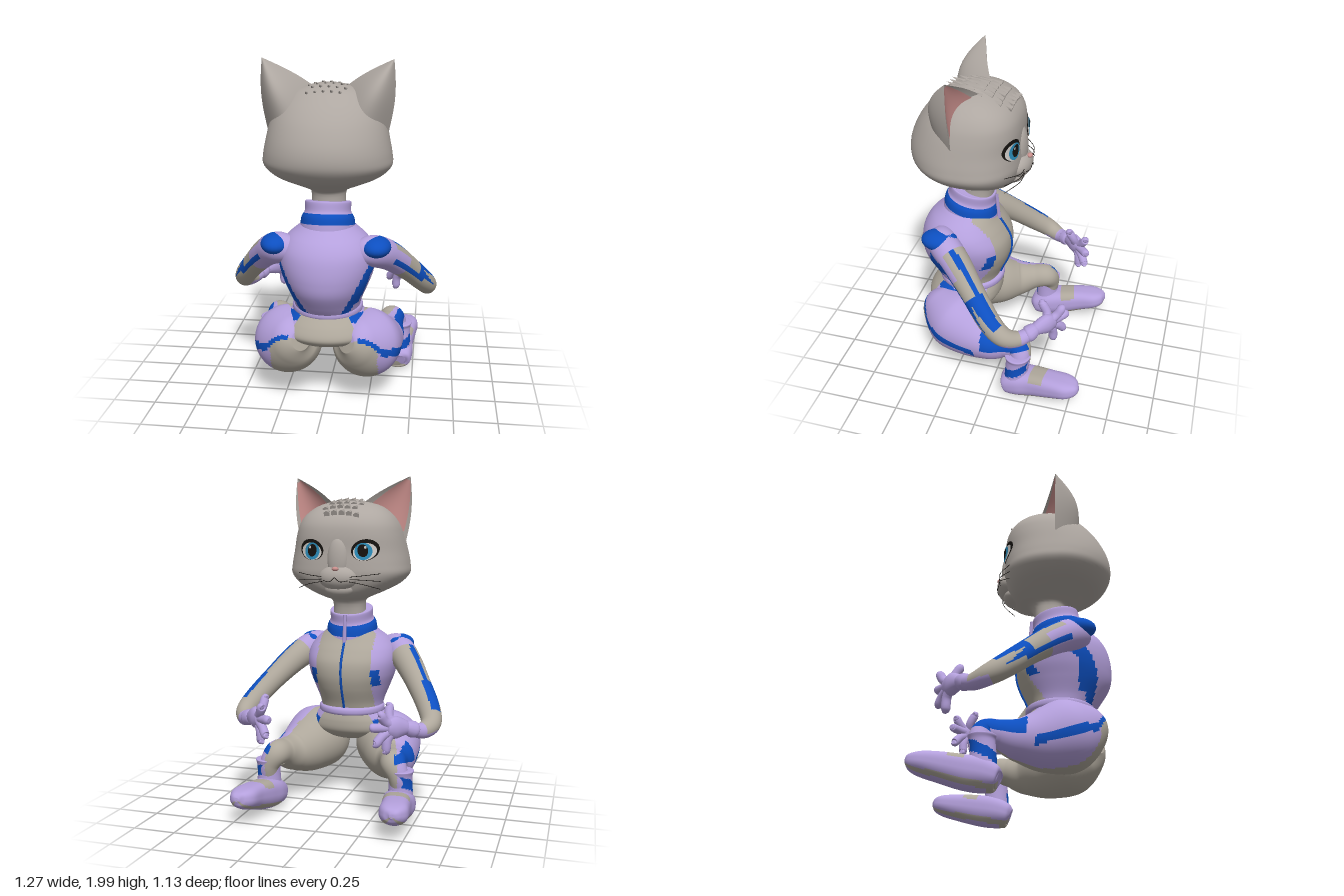
import * as THREE from 'three';

const flat = (name, color, side = THREE.FrontSide) => {
  const m = new THREE.MeshStandardMaterial({ color, side });
  m.name = name;
  return m;
};
const V = (x, y, z) => new THREE.Vector3(x, y, z);
const [FUR, GREY, PURPLE, BLUE] = [0, 1, 2, 3];

// smooth interpolation through rows of equal length, t in 0..1
function spline(rows, t) {
  const f = Math.min(t, 0.99999) * (rows.length - 1), i = Math.floor(f), u = f - i;
  const at = k => rows[Math.max(0, Math.min(rows.length - 1, k))];
  return rows[i].map((b, k) => {
    const a = at(i - 1)[k], c = at(i + 1)[k], d = at(i + 2)[k];
    return b + 0.5 * u * (c - a + u * (2 * a - 5 * b + 4 * c - d + u * (3 * (b - c) + d - a)));
  });
}

// closed skin over sections {c, A, B, p, q}; paint(point info) picks a material per quad
function loft(name, section, nt, na, mats, paint) {
  const pos = [], info = [], buckets = mats.map(() => []);
  for (let i = 0; i <= nt; i++) {
    const { c, A, B, p = 2, q = 2 } = section(i / nt);
    for (let j = 0; j < na; j++) {
      const a = j / na * Math.PI * 2, cs = Math.cos(a), sn = Math.sin(a), e = 2 / (sn > 0 ? p : q);
      const off = A.clone().multiplyScalar(Math.sign(cs) * Math.abs(cs) ** e)
        .addScaledVector(B, Math.sign(sn) * Math.abs(sn) ** e);
      const { x, y, z } = c.clone().add(off), n = off.normalize();
      pos.push(x, y, z);
      info.push({ x, y, z, nx: n.x, ny: n.y, nz: n.z, t: i / nt });
    }
  }
  const c0 = section(0).c, c1 = section(1).c, k0 = (nt + 1) * na;
  pos.push(c0.x, c0.y, c0.z, c1.x, c1.y, c1.z);
  for (let j = 0; j < na; j++) {
    const k = (j + 1) % na;
    for (let i = 0; i < nt; i++) {
      const a = i * na + j, b = i * na + k, mid = {};
      for (const key in info[a]) mid[key] = (info[a][key] + info[b + na][key]) / 2;
      buckets[paint(mid)].push(a, b, a + na, b, b + na, a + na);
    }
    buckets[paint(info[j])].push(k0, k, j);
    buckets[paint(info[nt * na + j])].push(k0 + 1, nt * na + j, nt * na + k);
  }
  const g = new THREE.BufferGeometry();
  g.setAttribute('position', new THREE.Float32BufferAttribute(pos, 3));
  g.setIndex(buckets.flat());
  let start = 0;
  buckets.forEach((b, i) => { if (b.length) g.addGroup(start, b.length, i); start += b.length; });
  g.computeVertexNormals();
  const m = new THREE.Mesh(g, mats);
  m.name = name;
  return m;
}

// horizontal sections, rows of [y, half width, front z, back z]
const stack = (rows, p = 2, slope = 0) => t => {
  const [y, w, zf, zb] = spline(rows, t), d = (zb - zf) / 2;
  return { c: V(0, y, (zf + zb) / 2), A: V(w, 0, 0), B: V(0, -slope * d, -d), p };
};
// limb along rows of [x, y, z, radius] or [x, y, z, radius, radius across]
const limb = (rows, s, ref = V(1, 0, 0), q = 2) => t => {
  const at = u => { const r = spline(rows, u); return V(r[0] * s, r[1], r[2]); };
  const r = spline(rows, t);
  const T = at(Math.min(1, t + 0.01)).sub(at(Math.max(0, t - 0.01))).normalize();
  const A = ref.clone().addScaledVector(T, -ref.dot(T)).normalize(), B = T.clone().cross(A);
  return { c: at(t), A: A.multiplyScalar(r[3]), B: B.multiplyScalar(r[4] ?? r[3]), q };
};
// row of a stack at height y
function rowAt(rows, y) {
  let lo = 0, hi = 1;
  for (let i = 0; i < 24; i++) {
    const m = (lo + hi) / 2;
    if (spline(rows, m)[0] < y) lo = m; else hi = m;
  }
  return spline(rows, lo);
}
// front surface z of a stack at (x, y)
function frontZ(rows, p, x, y) {
  const [, w, zf, zb] = rowAt(rows, y), k = 1 - Math.min(1, Math.abs(x / w)) ** p;
  return (zf + zb) / 2 - (zb - zf) / 2 * k ** (1 / p);
}
// top surface y of a stack at (x, z), searching down from y
function topY(rows, x, z, y) {
  const outside = ([, w, zf, zb]) => Math.hypot(x / w, (2 * z - zf - zb) / (zb - zf)) > 1;
  while (y > 1.6 && outside(rowAt(rows, y))) y -= 0.005;
  return y;
}
// surface from f(u, v) -> Vector3
function patch(name, nu, nv, f, mat) {
  const g = new THREE.PlaneGeometry(1, 1, nu, nv), uv = g.attributes.uv, P = g.attributes.position;
  for (let i = 0; i < P.count; i++) P.setXYZ(i, ...f(uv.getX(i), uv.getY(i)).toArray());
  g.computeVertexNormals();
  const m = new THREE.Mesh(g, mat);
  m.name = name;
  return m;
}

export function createModel() {
  const root = new THREE.Group(), D = THREE.DoubleSide;
  const fur = flat('fur grey', 0xaea7a1, D), grey = flat('suit grey', 0xaea79b);
  const purple = flat('suit purple', 0xb4a0dc), blue = flat('suit blue', 0x0d4fc0);
  const pink = flat('pink', 0xc98f8c, D), black = flat('black', 0x15120f, D);
  const white = flat('eye white', 0xd0ccc8, D), iris = flat('iris blue', 0x2c8dbb, D);
  const mats = [fur, grey, purple, blue];
  const ball = (name, mat, x, y, z, a, b, c) => {
    const m = new THREE.Mesh(new THREE.SphereGeometry(1, 24, 16), mat);
    m.name = name; m.position.set(x, y, z); m.scale.set(a, b, c); root.add(m);
  };
  const tube = (name, mat, pts, r) => {
    const m = new THREE.Mesh(new THREE.TubeGeometry(new THREE.CatmullRomCurve3(pts), 20, r, 5), mat);
    m.name = name; root.add(m);
  };

  // head and neck
  const headRows = [[1.15, .1, .09, .28], [1.25, .1, .07, .28], [1.28, .14, -.01, .32], [1.31, .21, -.055, .38],
    [1.36, .305, -.08, .48], [1.42, .36, -.095, .54], [1.48, .36, -.095, .56], [1.56, .345, -.09, .55],
    [1.65, .325, -.09, .51], [1.72, .3, -.075, .46], [1.78, .255, -.03, .4], [1.83, .18, .05, .33], [1.865, .05, .14, .23]];
  root.add(loft('head', stack(headRows, 2.5), 60, 64, mats, () => FUR));
  const hz = (x, y) => frontZ(headRows, 2.5, x, y);
  ball('muzzle', fur, 0, 1.405, -.07, .12, .075, .075);
  ball('noseBridge', fur, 0, 1.51, -.075, .065, .13, .042);
  ball('nose', pink, 0, 1.458, -.13, .02, .013, .016);
  ball('chin', fur, 0, 1.335, -.045, .09, .048, .06);

  // fur tufts along the crown
  for (let r = 0; r < 7; r++) for (let k = -2; k <= 2; k++) {
    const x = k * .045 + (r % 2 ? .012 : -.012), z = -.01 + r * .055;
    const m = new THREE.Mesh(new THREE.ConeGeometry(.02, .08, 6), fur);
    m.name = 'furTuft'; m.position.set(x, topY(headRows, x, z, 1.862), z); m.rotation.x = 1.2; root.add(m);
  }

  // torso, collar, belt and pelvis
  const torsoRows = [[.57, .19, .06, .42], [.63, .2, .04, .465], [.72, .235, 0, .52], [.8, .265, -.02, .535],
    [.88, .28, -.015, .53], [.95, .27, .02, .51], [1.01, .23, .06, .47], [1.06, .17, .09, .41], [1.1, .12, .12, .36]];
  root.add(loft('torso', stack(torsoRows, 2.2), 100, 100, mats, ({ x, y, z }) => {
    const w = Math.abs(x), line = .14 + (y - .63) * .52;
    if (z < .18) return w < .17 ? GREY : y > .74 && y < .84 && w < .215 ? BLUE : PURPLE;
    if (z > .24 && y < .97 && Math.abs(w - line) < .022) return BLUE;
    return z > .34 && z < .43 && w > line && y < .87 && y > .64 ? BLUE : PURPLE;
  }));
  tube('zip', blue, Array.from({ length: 15 }, (_, k) => V(0, .6 + k * .03, frontZ(torsoRows, 2.2, 0, .6 + k * .03) - .003)), .008);
  root.add(loft('collar', stack([[1, .165, .06, .4], [1.07, .157, .065, .39], [1.11, .15, .07, .38],
    [1.145, .132, .08, .36], [1.195, .132, .075, .35], [1.2, .12, .09, .335]], 2, .22), 40, 48, mats,
  ({ t }) => t > .2 && t < .52 ? BLUE : PURPLE));
  tube('collarZip', purple, [V(0, 1.0, .055), V(0, 1.08, .062), V(0, 1.17, .07)], .012);
  root.add(loft('belt', stack([[.55, .19, .05, .41], [.56, .205, .03, .43], [.59, .205, .03, .43],
    [.6, .19, .05, .41]]), 9, 48, mats, () => PURPLE));
  root.add(loft('pelvis', stack([[.38, .15, .16, .4], [.405, .23, .1, .46], [.45, .28, .05, .5],
    [.51, .255, .04, .475], [.57, .195, .05, .42]]), 50, 90, mats, ({ y, z, nx }) => {
    if (Math.abs(nx) < .72) return GREY;
    return z > .1 && z < .42 && Math.abs(y - .53 - (z - .27) * .2) < .024 ? BLUE : PURPLE;
  }));

  for (const s of [1, -1]) {
    const side = s > 0 ? 'left' : 'right';

    // ear: curved back, shallow front, pink inner face
    const o = V(.338 * s, 1.61, .225), i = V(.1 * s, 1.845, .13), tip = V(.36 * s, 2, .235);
    const ear = (depth, inset, lift) => (u, v) => {
      const k = inset + u * (1 - 2 * inset), h = inset + v * (1 - 1.8 * inset);
      const base = o.clone().lerp(i, k), bend = 4 * k * (1 - k);
      base.z += depth * bend + lift;
      base.x -= (.02 * bend + lift) * s;
      const q = base.lerp(tip, h), bulge = Math.sin(h * Math.PI);
      q.x += (1 - 2 * k) * .02 * s * bulge;
      q.z += depth * .25 * bulge * bend;
      return q;
    };
    root.add(patch(side + 'EarBack', 16, 12, ear(.19, 0, 0), fur));
    root.add(patch(side + 'EarFront', 16, 12, ear(.05, 0, 0), fur));
    root.add(patch(side + 'EarInner', 16, 12, ear(.05, .1, -.007), pink));

    // eye layers laid on the face
    const disc = (name, mat, cx, cy, rx, ry, lift) => root.add(patch(side + name, 28, 5, (u, v) => {
      const a = u * Math.PI * 2, dx = Math.cos(a) * rx * v, dy = Math.sin(a) * ry * v;
      const x = cx + dx * .97 - dy * .2, y = cy + dy * .97 + dx * .2;
      return V(x * s, y, hz(x, y) - lift);
    }, mat));
    disc('EyeRim', black, .163, 1.567, .08, .062, .004);
    disc('EyeWhite', white, .162, 1.557, .068, .05, .008);
    disc('Iris', iris, .156, 1.559, .05, .05, .012);
    disc('Pupil', black, .154, 1.563, .03, .037, .016);
    disc('Glint', white, .168, 1.582, .007, .008, .019);

    // mouth and whiskers
    tube(side + 'Mouth', black, [V(0, 1.41, -.146), V(.03 * s, 1.385, -.141), V(.075 * s, 1.39, -.128)], .002);
    for (let k = 0; k < 3; k++) tube(side + 'Whisker', black,
      [V(.07 * s, 1.41 - k * .012, -.12), V(.16 * s, 1.42 - k * .025, -.115), V(.25 * s, 1.43 - k * .045, -.05)], .0018);

    // shoulder cap and arm
    ball(side + 'ShoulderCap', blue, .285 * s, .975, .335, .085, .058, .11);
    root.add(loft(side + 'Arm', limb([[.19, .94, .34, .07], [.27, .945, .32, .09], [.36, .88, .21, .085], [.46, .765, .08, .072],
      [.545, .65, -.04, .066], [.575, .585, -.13, .058], [.54, .56, -.215, .046], [.48, .585, -.28, .036]], s, V(0, 1, 0)),
    100, 48, mats, ({ nx, ny, nz, t }) => {
      const out = nx * s, wide = t > .45 ? .38 : .16;
      if (t < .24 || t > .86) return PURPLE;
      if (t < .64 && Math.abs(out - .5) < wide && ny > -.1) return BLUE;
      if (t < .5 && Math.abs(out - .75) < .2 && ny < -.1 && ny > -.5) return BLUE;
      return (t < .36 && nz > .3) || (t > .72 && ny < -.3) ? PURPLE : GREY;
    }));

    // glove
    const skin = (name, rows) => root.add(loft(side + name, limb(rows, s, V(0, 1, 0)), 16, 14, mats, () => PURPLE));
    skin('Cuff', [[.51, .57, -.25, .04], [.5, .575, -.262, .048], [.475, .588, -.285, .042], [.46, .59, -.295, .03]]);
    skin('Palm', [[.48, .585, -.28, .03, .03], [.445, .595, -.315, .052, .038], [.41, .6, -.35, .065, .04],
      [.375, .6, -.385, .042, .028]]);
    for (const [x, y, z] of [[.36, .71, -.31], [.34, .68, -.42], [.295, .61, -.435], [.315, .52, -.425], [.36, .475, -.38]])
      skin('Finger', [[.415, .6, -.345, .028], [(x + .4) / 2, (y + .6) / 2, (z - .37) / 2, .026],
        [x + .012, y, z, .025], [x, y, z - .006, .012]]);

    // leg
    root.add(loft(side + 'Leg', limb([[.13, .43, .44, .06], [.17, .41, .39, .14], [.225, .36, .27, .202], [.28, .32, .13, .172],
      [.33, .31, .01, .12], [.35, .33, -.09, .085], [.365, .335, -.165, .076], [.4, .27, -.19, .06], [.41, .18, -.17, .058]], s),
    120, 72, mats, ({ x, y, z, nx, ny, t }) => {
      const out = nx * s, f = z < .43 ? .28 + .3 * (z - .14) : .37 + 2 * (z - .43);
      if (x * s > .2 && out > .1 && z > .1 && Math.abs(y - f) < .024) return BLUE;
      if (out > .15 && t < .8 && z < .06 && ny > 0 && ny < .85) return BLUE;
      return x * s > .31 + Math.max(0, .1 - z) * .28 || (out > .1 && y > f && z > .1) ? PURPLE : GREY;
    }));

    // boot
    root.add(loft(side + 'BootShaft', limb([[.41, .31, -.175, .06], [.41, .305, -.175, .078], [.41, .275, -.175, .07],
      [.41, .21, -.17, .07], [.41, .1, -.17, .078]], s), 40, 40, mats,
    ({ y, z, nx }) => Math.abs(y - .215 + .5 * (z + .17)) < .03 && nx * s > -.4 ? BLUE : PURPLE));
    root.add(loft(side + 'Boot', limb([[.4, .07, -.09, .05, .04], [.4, .075, -.105, .085, .068], [.403, .095, -.18, .095, .088],
      [.41, .112, -.27, .086, .09], [.43, .135, -.39, .082, .078], [.443, .152, -.49, .08, .062],
      [.45, .163, -.545, .05, .04], [.45, .165, -.565, .012, .012]], s, V(1, 0, 0), 3), 70, 48, mats,
    ({ ny, t }) => (ny < -.5 && (ny > -.8 || t < .2)) || (ny > .55 && t > .44 && t < .54) ? GREY : PURPLE));
  }
  return root;
}
